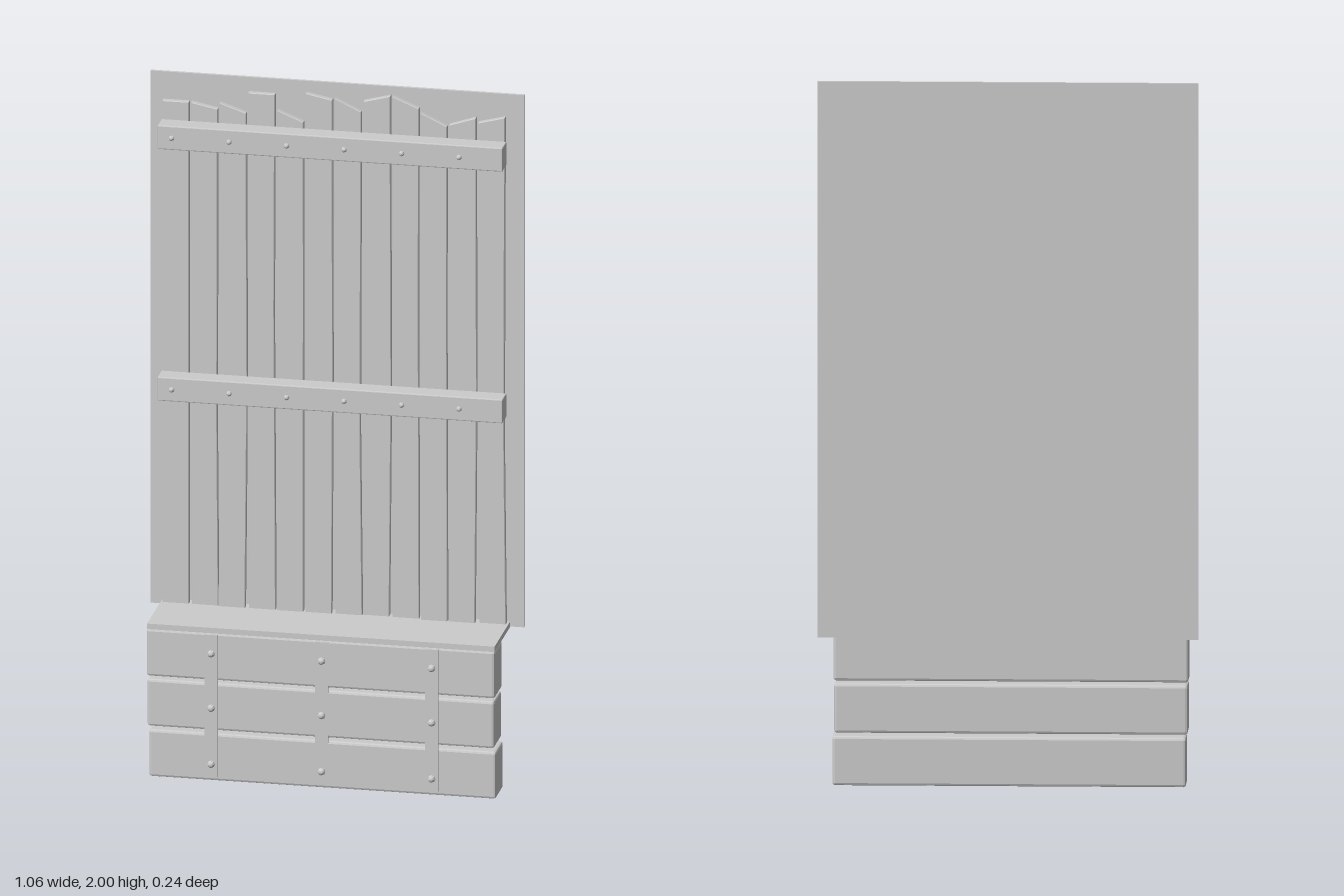
import * as THREE from 'three';
import { RoundedBoxGeometry } from 'three/addons/geometries/RoundedBoxGeometry.js';

export function createModel() {
  const model = new THREE.Group();
  const mat = new THREE.MeshStandardMaterial({ color: 0xcccccc, flatShading: true });

  function add(name, geometry, x = 0, y = 0, z = 0) {
    const mesh = new THREE.Mesh(geometry, mat);
    mesh.name = name;
    mesh.position.set(x, y, z);
    model.add(mesh);
    return mesh;
  }
  // Box given by its limits on each axis, optionally chamfered
  function block(name, [x0, x1], [y0, y1], [z0, z1], chamfer = 0) {
    const size = [x1 - x0, y1 - y0, z1 - z0];
    const geometry = chamfer
      ? new RoundedBoxGeometry(...size, 1, chamfer)
      : new THREE.BoxGeometry(...size);
    return add(name, geometry, (x0 + x1) / 2, (y0 + y1) / 2, (z0 + z1) / 2);
  }
  // Domed bolt head facing the front
  function bolt(name, x, y, z, r) {
    const dome = new THREE.SphereGeometry(r, 8, 3, 0, Math.PI * 2, 0, Math.PI / 2);
    dome.rotateX(Math.PI / 2);
    add(name, dome, x, y, z);
  }

  // Thin backing sheet
  block('backPanel', [-0.53, 0.53], [0.435, 2], [-0.122, -0.113]);

  // Upright planks: top heights at left and right edge, and front depth
  const planks = [
    [1.925, 1.925, -0.083], [1.925, 1.91, -0.083], [1.93, 1.905, -0.079],
    [1.965, 1.965, -0.08], [1.92, 1.89, -0.078], [1.975, 1.96, -0.079],
    [1.965, 1.93, -0.082], [1.96, 1.98, -0.087], [1.98, 1.95, -0.085],
    [1.94, 1.905, -0.078], [1.91, 1.935, -0.079], [1.92, 1.94, -0.085],
  ];
  planks.forEach(([topL, topR, front], i) => {
    const x0 = -0.49 + i * 0.0814, x1 = x0 + 0.075;
    const sway = 0.003 * Math.sin(i * 2.4);
    const shape = new THREE.Shape([
      [x0 + sway, 0.44], [x1 + sway, 0.44], [x1 - sway, 1.2 + 0.2 * Math.sin(i * 5)],
      [x1, topR], [x0, topL], [x0 - sway, 1.2 + 0.3 * Math.cos(i * 3)],
    ].map(([x, y]) => new THREE.Vector2(x, y)));
    const geometry = new THREE.ExtrudeGeometry(shape, {
      depth: 0.014, bevelEnabled: true, bevelSize: 0.002, bevelOffset: -0.002,
      bevelThickness: 0.002, bevelSegments: 1,
    });
    add('plank', geometry, 0, 0, front - 0.016);
  });

  // Two cross rails, each with six bolts
  for (const y of [1.1, 1.84]) {
    block('crossRail', [-0.49, 0.488], [y - 0.035, y + 0.035], [-0.072, -0.014], 0.003);
    for (let i = 0; i < 6; i++) bolt('railBolt', -0.45 + i * 0.163, y, -0.014, 0.008);
  }

  // Ledge between the planks and the base
  block('ledge', [-0.495, 0.49], [0.434, 0.45], [-0.115, 0.106]);

  // Three stacked base beams
  const beams = [
    [[-0.49, 0.493], [0, 0.138]],
    [[-0.495, 0.488], [0.148, 0.286]],
    [[-0.497, 0.49], [0.295, 0.434]],
  ];
  for (const [x, y] of beams) block('baseBeam', x, y, [0, 0.104], 0.007);

  // Metal straps with bolts
  for (const x of [-0.313, 0, 0.312]) {
    block('strap', [x - 0.018, x + 0.018], [0.012, 0.43], [0.1, 0.109]);
    for (const y of [0.05, 0.215, 0.375]) bolt('strapBolt', x, y, 0.109, 0.011);
  }
  return model;
}
